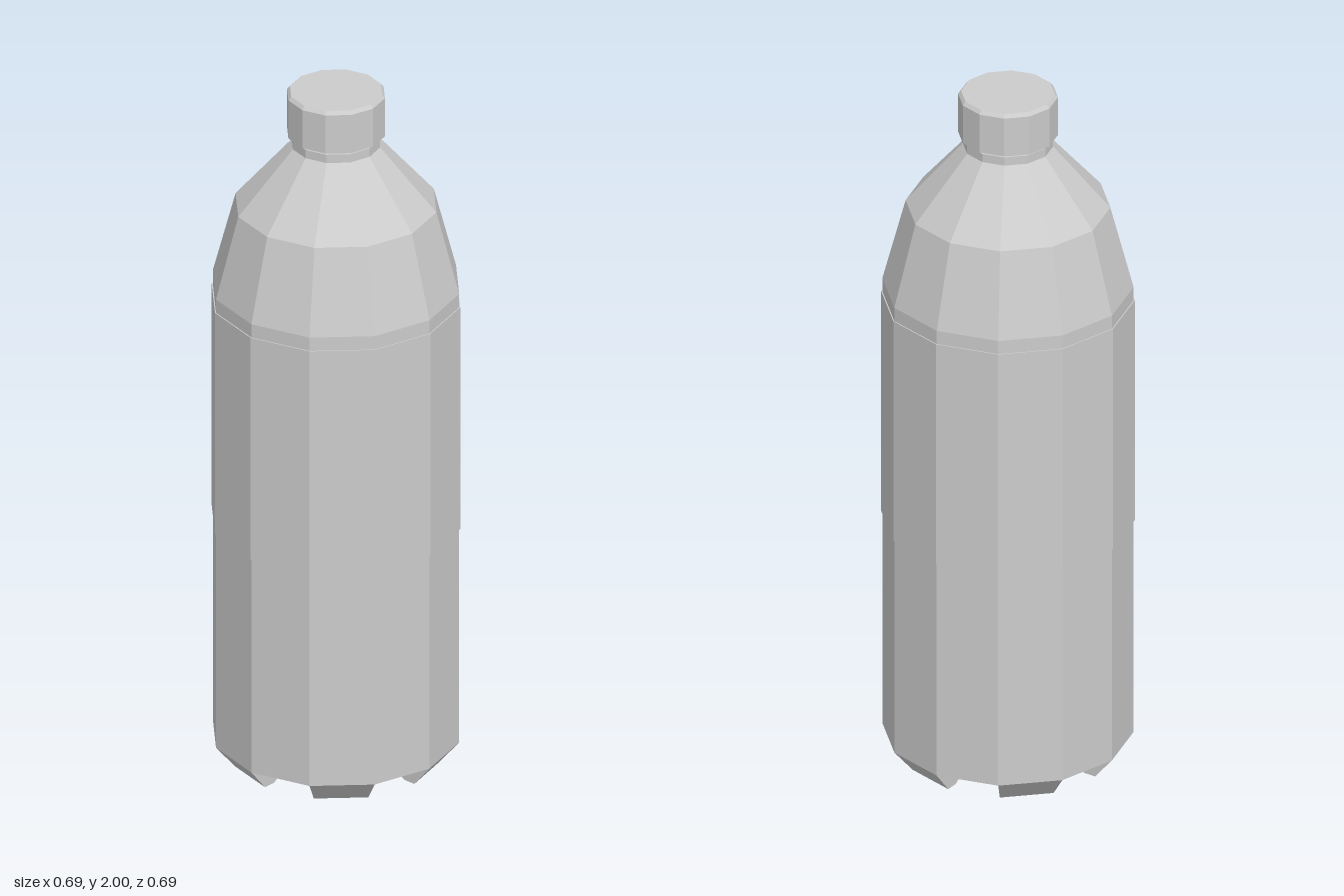
import * as THREE from 'three';

const SIDES = 12;
const FLOOR = 0.065;

function createMaterial() {
  return new THREE.MeshStandardMaterial({ color: 0xcccccc, flatShading: true });
}

// Twelve-sided turned part from [radius, height] pairs, listed bottom to top
function turned(name, profile) {
  const points = profile.map(([r, y]) => new THREE.Vector2(r, y));
  const mesh = new THREE.Mesh(new THREE.LatheGeometry(points, SIDES), createMaterial());
  mesh.name = name;
  return mesh;
}

// One wedge-shaped foot, swept across a single facet of the body
function footGeometry() {
  const profile = [[0.14, FLOOR], [0.25, 0], [0.285, 0], [0.34, FLOOR]];
  const step = (Math.PI * 2) / SIDES;
  const ring = (a) => profile.map(([r, y]) => [r * Math.cos(a), y, r * Math.sin(a)]);
  const p = ring(0);
  const q = ring(step);
  const corners = [];
  const tri = (a, b, c) => corners.push(...a, ...b, ...c);
  // inner slope, sole and outer face
  for (let i = 0; i < 3; i++) {
    tri(q[i], p[i], p[i + 1]);
    tri(q[i], p[i + 1], q[i + 1]);
  }
  // side walls
  for (let i = 1; i < 3; i++) {
    tri(p[0], p[i + 1], p[i]);
    tri(q[0], q[i], q[i + 1]);
  }
  const geometry = new THREE.BufferGeometry();
  geometry.setAttribute('position', new THREE.Float32BufferAttribute(corners, 3));
  geometry.computeVertexNormals();
  return geometry;
}

export function createModel() {
  const bottle = new THREE.Group();
  bottle.name = 'bottle';

  // Body with recessed floor and tapering shoulder
  bottle.add(turned('body', [
    [0, FLOOR], [0.34, FLOOR], [0.34, 1.42], [0.277, 1.66], [0.122, 1.84],
  ]));

  // Thin sleeve around the straight part of the body
  bottle.add(turned('label', [[0.338, 0.71], [0.343, 0.71], [0.343, 1.38], [0.338, 1.38]]));

  // Neck
  bottle.add(turned('neck', [[0.122, 1.84], [0.122, 1.865], [0.115, 1.865], [0.115, 1.89]]));

  // Screw cap with a small bevel at the top
  bottle.add(turned('cap', [[0, 1.875], [0.135, 1.875], [0.135, 1.99], [0.127, 2], [0, 2]]));

  // Six feet on every other facet
  const feet = new THREE.Group();
  feet.name = 'feet';
  const geometry = footGeometry();
  for (let i = 0; i < 6; i++) {
    const foot = new THREE.Mesh(geometry, createMaterial());
    foot.name = 'foot';
    foot.rotation.y = -(Math.PI / 6) * (2 * i + 1);
    feet.add(foot);
  }
  bottle.add(feet);

  return bottle;
}
